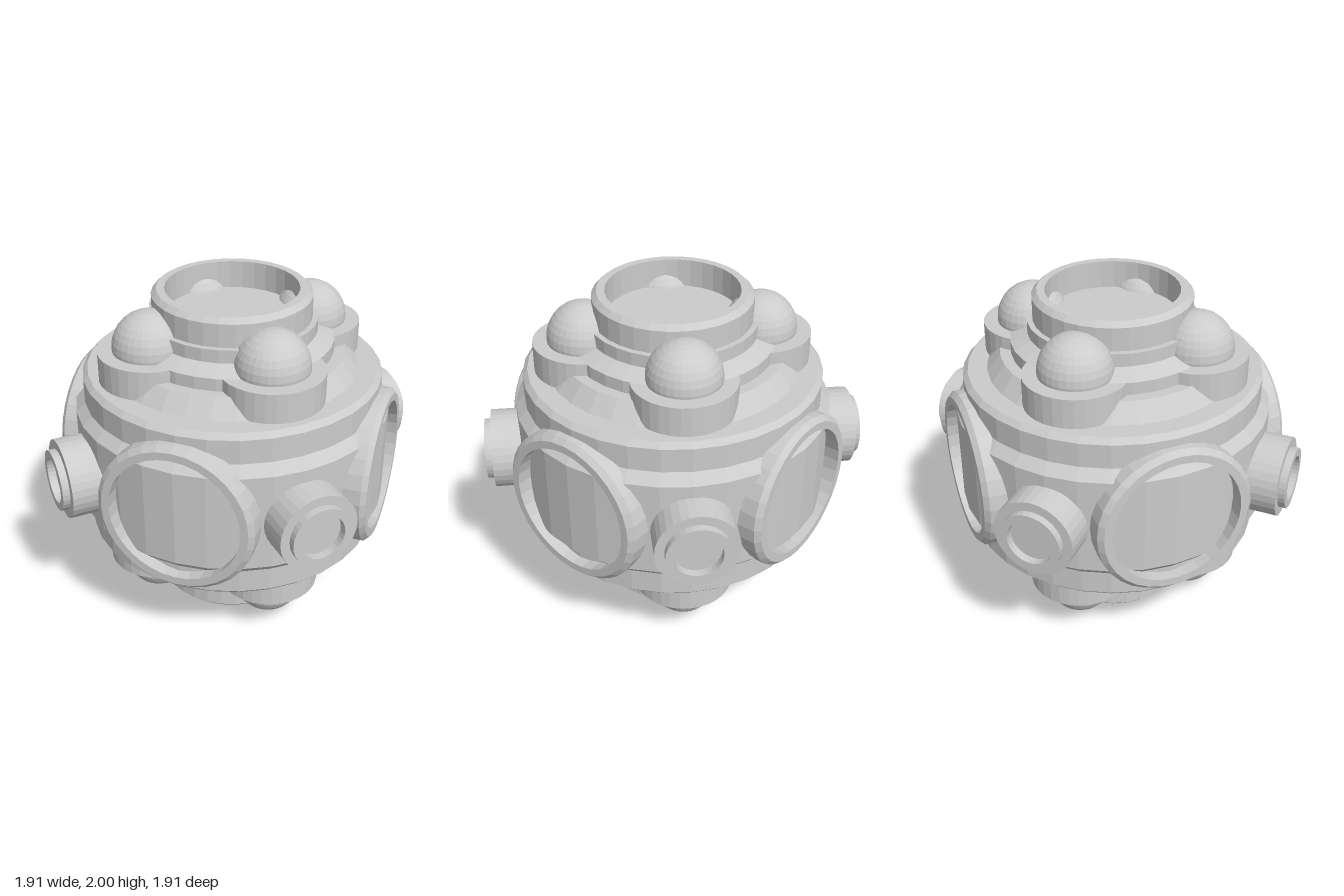
import * as THREE from 'three';

const SIDES = 32;
const material = new THREE.MeshStandardMaterial({
  color: 0xcccccc, flatShading: true, side: THREE.DoubleSide,
});

function part(name, geometry) {
  const mesh = new THREE.Mesh(geometry, material);
  mesh.name = name;
  return mesh;
}

// profile is a list of [radius, height], outer side first, from bottom to top
function lathe(profile) {
  return new THREE.LatheGeometry(profile.map(([r, y]) => new THREE.Vector2(r, y)), SIDES);
}

export function createModel() {
  const model = new THREE.Group();
  model.name = 'sphericalStation';

  // Hull: wide belt with stepped shoulders, mirrored about mid-height
  const upper = [
    [0.945, 0.3], [0.89, 0.36], [0.89, 0.505], [0.86, 0.536], [0.745, 0.536],
    [0.665, 0.638], [0.6, 0.638], [0.6, 0.712], [0.5, 0.757], [0.5, 0.835], [0, 0.835],
  ];
  const lower = upper.map(([r, y]) => [r, -y]).reverse();
  const hull = part('hull', lathe([...lower, ...upper]));
  hull.position.y = 0.998;
  model.add(hull);

  // Pole assemblies: open collar plus four domes on round pedestals
  const collarGeo = lathe([
    [0.467, 0.8], [0.467, 0.97], [0.437, 1], [0.39, 1], [0.39, 0.8],
  ]);
  const pedestalGeo = new THREE.CylinderGeometry(0.3, 0.3, 0.2, SIDES);
  const domeGeo = new THREE.SphereGeometry(0.216, SIDES, 16);
  for (const end of ['top', 'bottom']) {
    const pole = new THREE.Group();
    pole.name = end + 'Pole';
    pole.add(part('collar', collarGeo));
    for (const x of [-0.366, 0.366]) {
      for (const z of [-0.366, 0.366]) {
        const pedestal = part('pedestal', pedestalGeo);
        pedestal.position.set(x, 0.61, z);
        const dome = part('dome', domeGeo);
        dome.position.set(x, 0.727, z);
        pole.add(pedestal, dome);
      }
    }
    pole.position.y = 1;
    if (end === 'bottom') pole.rotation.x = Math.PI;
    model.add(pole);
  }

  // Large open window rims on four sides, smaller docking ports between them
  const rimGeo = lathe([
    [0.467, 0.7], [0.467, 0.925], [0.437, 0.955], [0.39, 0.955], [0.39, 0.7],
  ]).rotateX(Math.PI / 2);
  const portGeo = lathe([
    [0.237, 0.8], [0.237, 1.105], [0.182, 1.105], [0.182, 1.148],
    [0.135, 1.148], [0.135, 1.1], [0, 1.1],
  ]).rotateX(Math.PI / 2);
  for (let i = 0; i < 4; i++) {
    const rim = part('windowRim', rimGeo);
    rim.position.y = 0.993;
    rim.rotation.y = i * Math.PI / 2;
    const port = part('dockingPort', portGeo);
    port.position.y = 0.988;
    port.rotation.y = (i + 0.5) * Math.PI / 2;
    model.add(rim, port);
  }
  return model;
}
